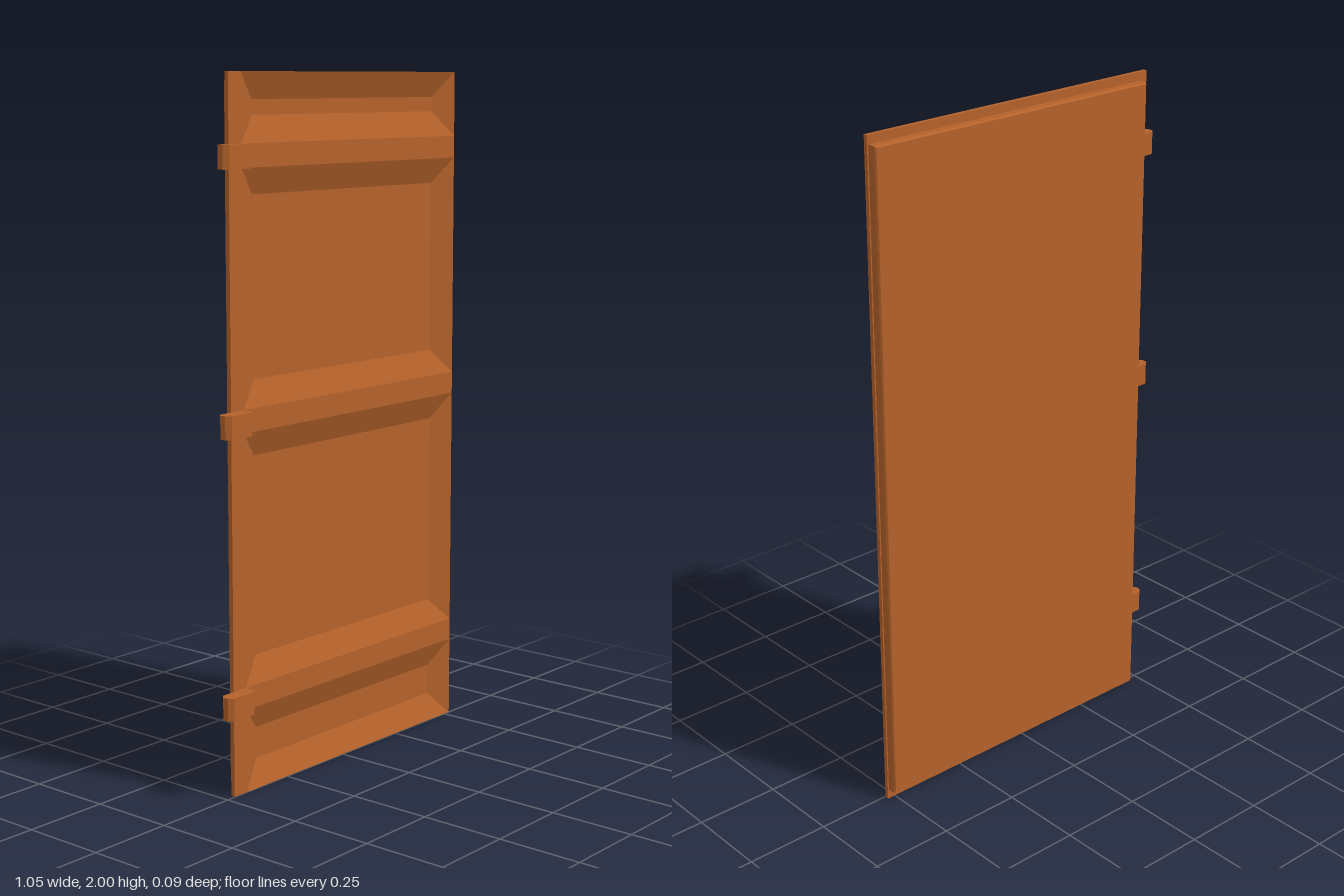
import * as THREE from 'three';

const FRONT = -0.001; // z of the door's front face
const RIBS = [[0.24, 0.305], [1.025, 1.09], [1.745, 1.81]];
const X0 = -0.47, X1 = 0.525, HINGE_X = -0.42;

// Joins rectangular rings [x0, x1, y0, y1, z] front to back and caps the last one.
// inward: true makes a hollow seen from the front.
function ringSolid(rings, inward) {
  const loops = rings.map(([x0, x1, y0, y1, z]) =>
    [[x0, y0, z], [x1, y0, z], [x1, y1, z], [x0, y1, z]]);
  const pos = [];
  const quad = (a, b, c, d) => {
    const q = inward ? [d, c, b, a] : [a, b, c, d];
    for (const i of [0, 1, 2, 0, 2, 3]) pos.push(...q[i]);
  };
  for (let k = 0; k + 1 < loops.length; k++) {
    const a = loops[k], b = loops[k + 1];
    for (let i = 0; i < 4; i++) {
      const j = (i + 1) % 4;
      quad(a[i], b[i], b[j], a[j]);
    }
  }
  const [p, q, r, s] = loops[loops.length - 1];
  quad(s, r, q, p);
  const g = new THREE.BufferGeometry();
  g.setAttribute('position', new THREE.Float32BufferAttribute(pos, 3));
  g.computeVertexNormals();
  return g;
}

export function createModel() {
  const group = new THREE.Group();
  const paint = new THREE.MeshStandardMaterial({ color: 0xb5622a });
  paint.name = 'rust orange paint';
  const add = (name, geometry) => {
    const mesh = new THREE.Mesh(geometry, paint);
    mesh.name = name;
    group.add(mesh);
    return mesh;
  };
  const flat = (name, x0, x1, y0, y1) =>
    add(name, new THREE.PlaneGeometry(x1 - x0, y1 - y0))
      .position.set((x0 + x1) / 2, (y0 + y1) / 2, FRONT);

  // Flange rim stepping in to the bevelled back panel
  const step = FRONT - 0.0125, back = -0.0425;
  add('doorShell', ringSolid([
    [X0, X1, 0, 2, FRONT],
    [X0, X1, 0, 2, step],
    [-0.445, 0.521, 0.03, 1.975, step],
    [-0.445, 0.521, 0.03, 1.975, back + 0.005],
    [-0.441, 0.517, 0.034, 1.971, back],
  ], false));

  // Flat front faces
  flat('hingeStrip', X0, HINGE_X, 0, 2);
  for (const [y0, y1] of RIBS) flat('rib', HINGE_X, X1, y0, y1);

  // Recesses with sloped sides between the ribs
  const edges = [0, ...RIBS.flat(), 2];
  for (let i = 0; i < edges.length; i += 2) {
    const y0 = edges[i], y1 = edges[i + 1], s = 0.074;
    add('recessedPanel', ringSolid([
      [HINGE_X, X1, y0, y1, FRONT],
      [HINGE_X + s, X1 - s, y0 + s, y1 - s, FRONT - 0.031],
    ], true));
  }

  // Hinge blocks with three cut corners, drawn in x and -z and extruded upward
  const outline = [[-0.513, 0.001], [-0.42, 0.001], [-0.42, -0.03], [-0.433, -0.0425],
    [-0.513, -0.0425], [-0.5265, -0.03], [-0.5265, -0.012]];
  const shape = new THREE.Shape(outline.map(([x, y]) => new THREE.Vector2(x, y)));
  for (const [y0, y1] of RIBS) {
    const g = new THREE.ExtrudeGeometry(shape, { depth: y1 - y0, bevelEnabled: false });
    g.rotateX(-Math.PI / 2);
    add('hingeBlock', g).position.y = y0;
  }
  return group;
}
